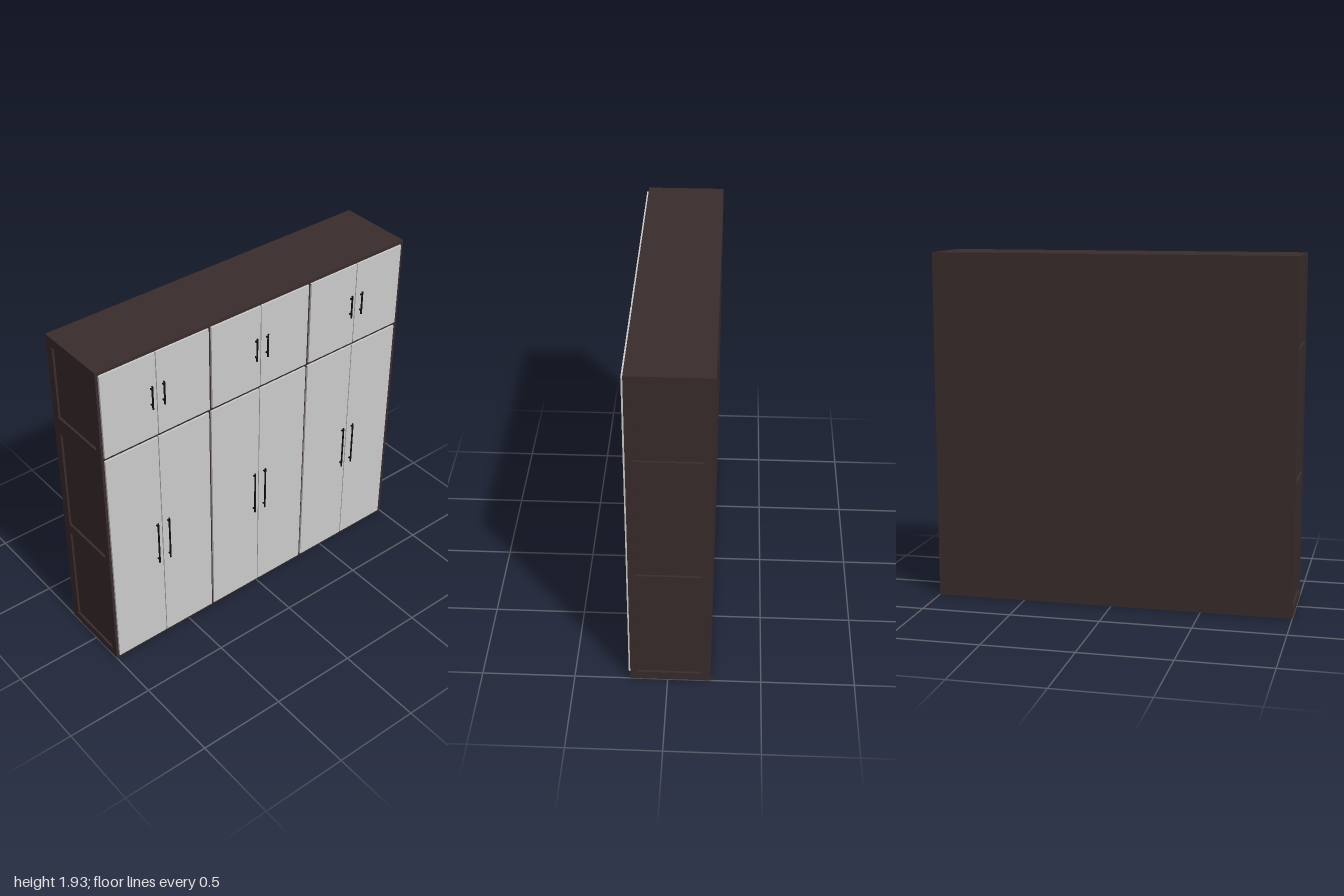
import * as THREE from 'three';

const H = 1.935, BACK = -0.23, FRONT = 0.2, RECESS = 0.012;
const wood = new THREE.MeshStandardMaterial({ color: 0x3a2c2c });
const grey = new THREE.MeshStandardMaterial({ color: 0xcccccc });
const black = new THREE.MeshStandardMaterial({ color: 0x111111 });

// Box given by its minimum and maximum corners
function box(name, material, x0, x1, y0, y1, z0, z1) {
  const mesh = new THREE.Mesh(new THREE.BoxGeometry(x1 - x0, y1 - y0, z1 - z0), material);
  mesh.position.set((x0 + x1) / 2, (y0 + y1) / 2, (z0 + z1) / 2);
  mesh.name = name;
  return mesh;
}

function rectangle(PathType, u0, u1, v0, v1) {
  const path = new PathType();
  path.moveTo(u0, v0);
  path.lineTo(u1, v0);
  path.lineTo(u1, v1);
  path.lineTo(u0, v1);
  path.closePath();
  return path;
}

// Side frame with three openings, leaving recessed panels
function sideFrame(name, x) {
  const shape = rectangle(THREE.Shape, -FRONT, -BACK, 0, H);
  for (const [y0, y1] of [[0.05, 0.67], [0.73, 1.345], [1.45, 1.88]]) {
    shape.holes.push(rectangle(THREE.Path, -0.16, 0.18, y0, y1));
  }
  const geometry = new THREE.ExtrudeGeometry(shape, { depth: RECESS, bevelEnabled: false });
  geometry.rotateY(Math.PI / 2);
  const mesh = new THREE.Mesh(geometry, wood);
  mesh.position.x = x;
  mesh.name = name;
  return mesh;
}

// Bar handle on two posts
function handle(x, y0, y1) {
  const group = new THREE.Group();
  group.name = 'handle';
  const r = 0.0035, inset = 0.022;
  group.add(box('handleBar', black, x - r, x + r, y0, y1, 0.223, 0.23));
  for (const y of [y0 + inset, y1 - inset]) {
    group.add(box('handlePost', black, x - r, x + r, y - r, y + r, 0.21, 0.225));
  }
  return group;
}

// Pair of doors meeting at a narrow seam, with handles either side of it
function doorPair(name, [x0, seam, x1], [y0, y1], [h0, h1]) {
  const group = new THREE.Group();
  group.name = name;
  const gap = 0.0025;
  group.add(
    box('leftHandDoor', grey, x0, seam - gap, y0, y1, FRONT - 0.005, 0.211),
    box('rightHandDoor', grey, seam + gap, x1, y0, y1, FRONT - 0.005, 0.211),
    handle(seam - 0.036, h0, h1),
    handle(seam + 0.036, h0, h1)
  );
  return group;
}

export function createModel() {
  const model = new THREE.Group();
  model.name = 'wardrobe';

  // Carcass
  model.add(box('carcass', wood, -1 + RECESS, 1 - RECESS, 0, H, BACK, FRONT));
  model.add(sideFrame('leftSideFrame', 1 - RECESS), sideFrame('rightSideFrame', -1));

  // Tall lower doors
  for (const xs of [[-0.985, -0.663, -0.34], [-0.325, -0.003, 0.317], [0.332, 0.652, 0.972]]) {
    model.add(doorPair('lowerDoors', xs, [0.022, 1.402], [0.57, 0.85]));
  }

  // Short upper doors
  for (const xs of [[-0.985, -0.66, -0.335], [-0.318, 0, 0.319], [0.337, 0.657, 0.977]]) {
    model.add(doorPair('upperDoors', xs, [1.422, 1.916], [1.6, 1.74]));
  }
  return model;
}
